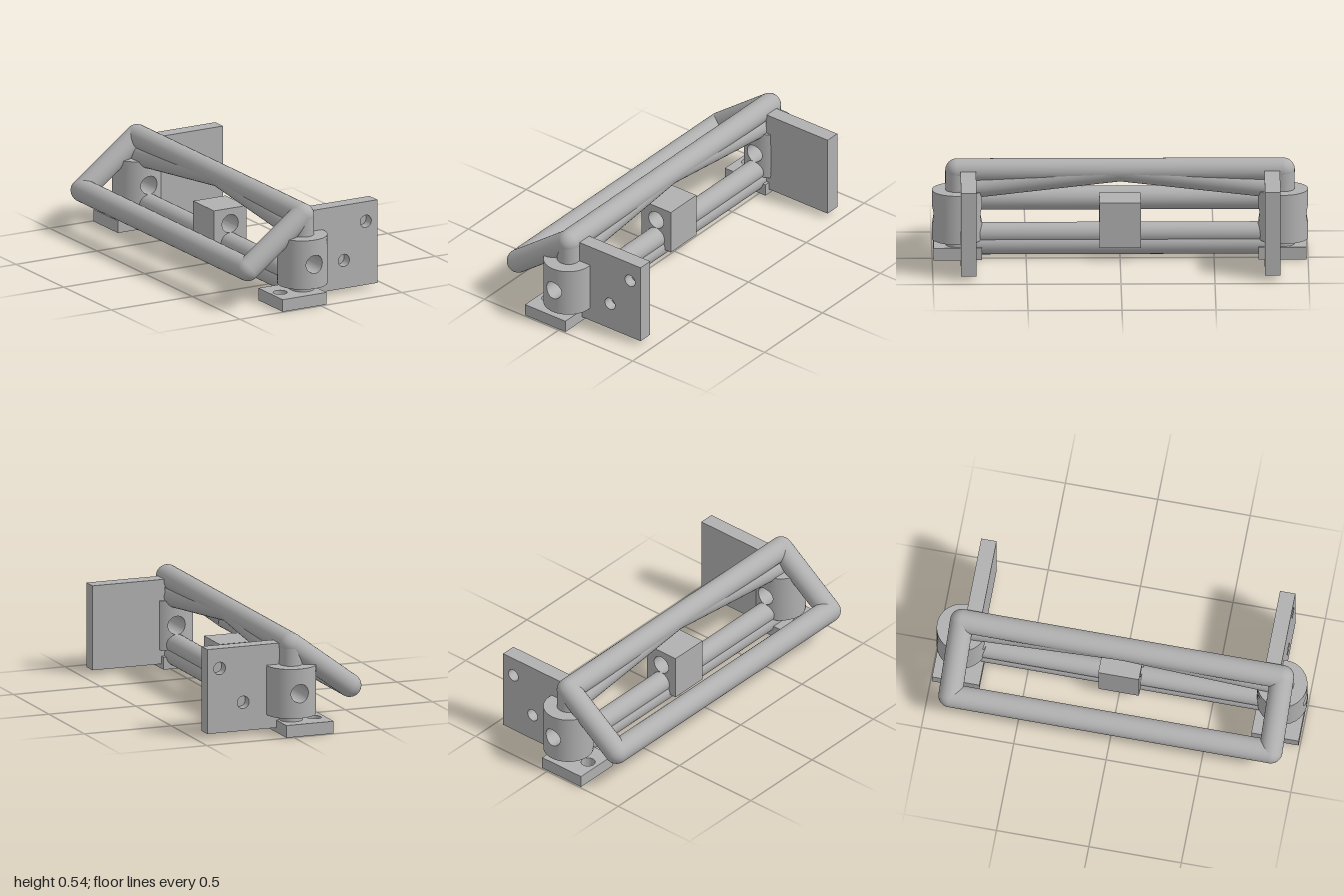
import * as THREE from 'three';
import { toCreasedNormals } from 'three/addons/utils/BufferGeometryUtils.js';
import { ParametricGeometry } from 'three/addons/geometries/ParametricGeometry.js';

const AXIS_X = -0.037, END_Z = 0.867, R = 0.063;
const BORE_Y = 0.237, BORE_R = 0.05;

export function createModel() {
  const model = new THREE.Group();
  model.name = 'handleFrame';
  const steel = new THREE.MeshStandardMaterial({ color: 0xb0b0b0 });
  steel.name = 'plainGrey';

  const add = (name, geometry, parent = model) => {
    const mesh = new THREE.Mesh(geometry, steel);
    mesh.name = name;
    parent.add(mesh);
    return mesh;
  };

  // Round-ended rod between two points
  const rod = (name, a, b, r = R) => {
    const from = new THREE.Vector3(...a), to = new THREE.Vector3(...b);
    const dir = to.clone().sub(from);
    const mesh = add(name, new THREE.CapsuleGeometry(r, dir.length(), 10, 28));
    mesh.position.copy(from).add(to).multiplyScalar(0.5);
    mesh.quaternion.setFromUnitVectors(new THREE.Vector3(0, 1, 0), dir.normalize());
  };

  // Flat rectangular slab with round holes [x, y, r], thickness along z
  const slab = (x0, y0, x1, y1, depth, holes) => {
    const shape = new THREE.Shape();
    shape.moveTo(x0, y0).lineTo(x1, y0).lineTo(x1, y1).lineTo(x0, y1).closePath();
    for (const [x, y, r] of holes) {
      shape.holes.push(new THREE.Path().absarc(x, y, r, 0, Math.PI * 2, true));
    }
    const geo = new THREE.ExtrudeGeometry(shape, { depth, bevelEnabled: false, curveSegments: 32 });
    return toCreasedNormals(geo, 0.6);
  };

  // Upright barrel pierced by a horizontal bore
  const barrelR = 0.134, barrelH = 0.27;
  const halfWall = new ParametricGeometry((t, s, p) => {
    const a = s * Math.PI * 2, c = Math.cos(a), n = Math.sin(a);
    const k = 1 / Math.max(Math.abs(c), Math.abs(n));
    const u = THREE.MathUtils.lerp(Math.asin(BORE_R * c / barrelR), k * c * Math.PI / 2, t);
    const y = THREE.MathUtils.lerp(BORE_R * n, k * n * barrelH / 2, t);
    p.set(barrelR * Math.sin(u), y, barrelR * Math.cos(u));
  }, 12, 64);
  const bore = new ParametricGeometry((t, s, p) => {
    const a = s * Math.PI * 2, x = BORE_R * Math.cos(a);
    p.set(x, BORE_R * Math.sin(a), (2 * t - 1) * Math.sqrt(barrelR ** 2 - x * x));
  }, 2, 64);
  const cap = new THREE.CircleGeometry(barrelR, 48);

  const barrel = (z) => {
    const group = new THREE.Group();
    group.name = 'barrel';
    add('barrelOuterWall', halfWall, group);
    add('barrelInnerWall', halfWall, group).rotation.y = Math.PI;
    add('barrelBore', bore, group);
    for (const s of [1, -1]) {
      const disc = add('barrelCap', cap, group);
      disc.rotation.x = -s * Math.PI / 2;
      disc.position.y = s * barrelH / 2;
    }
    group.position.set(AXIS_X, BORE_Y - 0.001, z);
    model.add(group);
  };

  // Handle loop: top bar and lower bar
  const top = [AXIS_X, 0.477], low = [-0.374, 0.225];
  rod('topBar', [...top, -END_Z], [...top, END_Z]);
  rod('lowerBar', [...low, -END_Z], [...low, END_Z]);

  // Twin rods under the centre block
  rod('upperTieRod', [AXIS_X, 0.13, -END_Z], [AXIS_X, 0.13, END_Z], 0.057);
  rod('lowerTieRod', [AXIS_X, 0.074, -END_Z], [AXIS_X, 0.074, END_Z], 0.061);

  // Centre block
  add('centreBlock', slab(-0.137, 0.072, 0.063, 0.322, 0.22, [[AXIS_X, BORE_Y, BORE_R]]))
    .position.z = -0.11;

  // Both ends
  for (const s of [1, -1]) {
    const z = s * END_Z;
    rod('sideArm', [...top, z], [...low, z]);
    rod('brace', [AXIS_X, 0.477, 0], [AXIS_X, 0.378, z], 0.062);
    barrel(z);

    // Post above and below the barrel
    for (const [y0, y1] of [[0.36, 0.477], [0.05, 0.11]]) {
      add('post', new THREE.CylinderGeometry(0.062, 0.062, y1 - y0, 28))
        .position.set(AXIS_X, (y0 + y1) / 2, z);
    }

    // Foot with a vertical screw hole
    const foot = slab(-0.232, -0.128, 0.04, 0.128, 0.067, [[-0.172, 0, 0.038]]);
    foot.rotateX(-Math.PI / 2);
    add('foot', foot).position.z = s * 0.864;

    // Side plate: drilled outer layer over a solid inner layer
    const outer = slab(0.02, 0.025, 0.436, 0.486, 0.055,
      [[0.365, 0.377, 0.034], [0.23, 0.18, 0.034]]);
    add('plateOuterLayer', outer).position.z = s > 0 ? 0.795 : -0.85;
    add('plateInnerLayer', new THREE.BoxGeometry(0.416, 0.461, 0.028))
      .position.set(0.228, 0.2555, s * 0.781);
  }
  return model;
}
